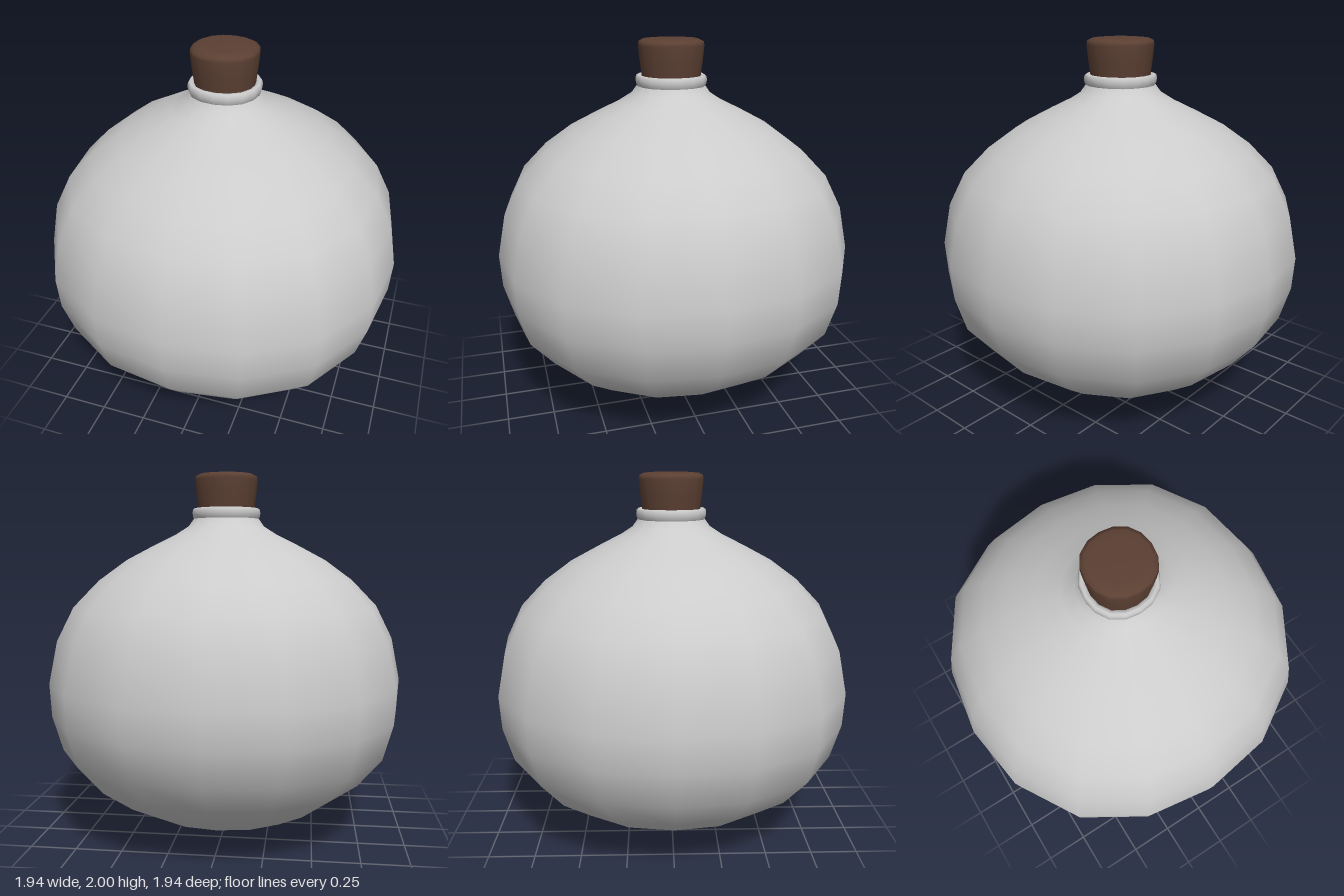
import * as THREE from 'three';

// Sixteen-sided turned form, bulging slightly on the diagonals
function turned(name, color, profile) {
  const geometry = new THREE.LatheGeometry(profile.map(([r, y]) => new THREE.Vector2(r, y)), 16);
  const p = geometry.attributes.position;
  for (let i = 0; i < p.count; i++) {
    const x = p.getX(i), z = p.getZ(i);
    const k = 1 + 0.035 * Math.sin(2 * Math.atan2(x, z)) ** 2;
    p.setXYZ(i, x * k, p.getY(i), z * k);
  }
  const mesh = new THREE.Mesh(geometry, new THREE.MeshStandardMaterial({ color }));
  mesh.name = name;
  return mesh;
}

export function createModel() {
  const model = new THREE.Group();
  model.name = 'corkedFlask';

  // Round body rising into a short neck
  model.add(turned('body', 0xcccccc, [
    [0, 0], [0.14, 0.02], [0.28, 0.055], [0.44, 0.115], [0.61, 0.21], [0.78, 0.34],
    [0.91, 0.5], [0.963, 0.69], [0.972, 0.87], [0.925, 1.1], [0.835, 1.28], [0.7, 1.42],
    [0.55, 1.53], [0.4, 1.61], [0.28, 1.67], [0.21, 1.715], [0.182, 1.755],
  ]));

  // Rolled lip, turned inwards around the stopper
  model.add(turned('lip', 0xcccccc, [
    [0.178, 1.75], [0.187, 1.765], [0.19, 1.785], [0.187, 1.805], [0.178, 1.812],
    [0.162, 1.81], [0.15, 1.795], [0.147, 1.75],
  ]));

  // Tapered stopper with a softened top edge
  model.add(turned('stopper', 0x5c4033, [
    [0, 1.74], [0.148, 1.74], [0.157, 1.81], [0.167, 1.89], [0.174, 1.965],
    [0.17, 1.985], [0.148, 1.996], [0.1, 2], [0, 2],
  ]));

  return model;
}
